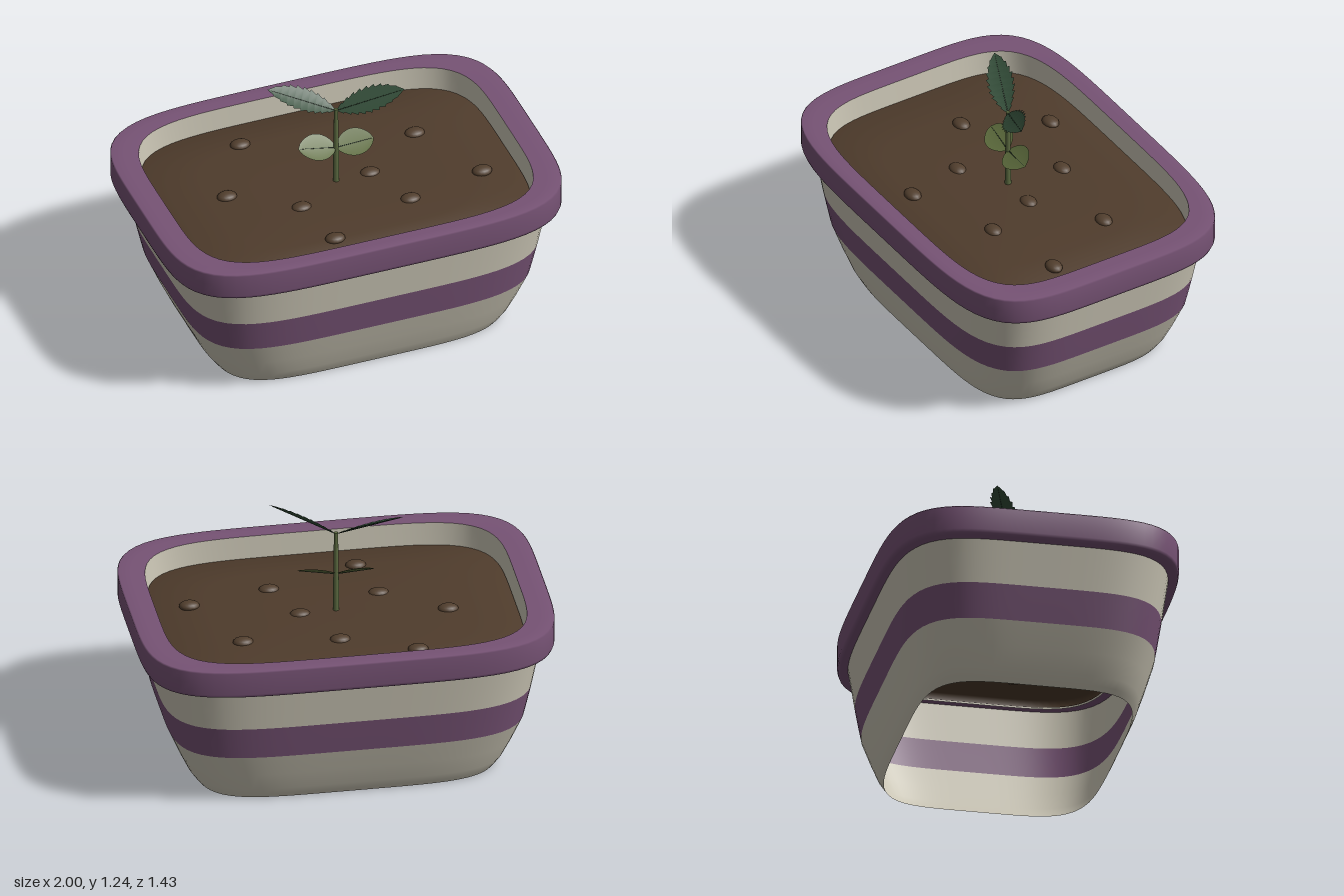
import * as THREE from 'three';

const SEG = 128;
const DEPTH = 0.717; // depth of the planter relative to its width

function material(name, color, double = true) {
  const m = new THREE.MeshStandardMaterial({ color, side: double ? THREE.DoubleSide : THREE.FrontSide });
  m.name = name;
  return m;
}

// Skin a [halfWidth, y] profile around a rounded-rectangle (superellipse) outline
function loft(name, profile, mat) {
  const pos = [], index = [], n = 4.8;
  for (const [r, y] of profile) {
    for (let j = 0; j < SEG; j++) {
      const a = (j / SEG) * Math.PI * 2, c = Math.cos(a), s = Math.sin(a);
      const k = r / Math.pow(Math.abs(c) ** n + Math.abs(s) ** n, 1 / n);
      pos.push(c * k, y, s * k * DEPTH);
    }
  }
  for (let i = 0; i < profile.length - 1; i++) {
    for (let j = 0; j < SEG; j++) {
      const a = i * SEG + j, b = i * SEG + (j + 1) % SEG, c = a + SEG, d = b + SEG;
      index.push(a, c, b, b, c, d);
    }
  }
  return finish(name, pos, index, mat);
}

function finish(name, pos, index, mat) {
  const g = new THREE.BufferGeometry();
  g.setAttribute('position', new THREE.Float32BufferAttribute(pos, 3));
  g.setIndex(index);
  g.computeVertexNormals();
  const mesh = new THREE.Mesh(g, mat);
  mesh.name = name;
  return mesh;
}

// Blade growing along local x, folded along its midrib, with optional saw teeth
function leaf(name, { base, tip, up, half, teeth, power }, mat, veinMat) {
  const from = new THREE.Vector3(...base), dir = new THREE.Vector3(...tip).sub(from);
  const len = dir.length();
  dir.normalize();
  const side = new THREE.Vector3().crossVectors(dir, new THREE.Vector3(...up)).normalize();
  const normal = new THREE.Vector3().crossVectors(side, dir);

  const rows = [], count = teeth || 16;
  for (let i = 0; i <= count; i++) {
    const t = i / count, w = half * Math.pow(Math.max(0, Math.sin(Math.PI * t)), power);
    rows.push([t, w]);
    if (teeth && i > 0 && i < count) rows.push([t + 0.012, w * 0.8]);
  }
  const pos = [], index = [];
  rows.forEach(([t, w], i) => {
    const x = t * len;
    pos.push(x, w * 0.16, -w, x, 0, 0, x, w * 0.16, w);
    if (i === 0) return;
    for (let k = 0; k < 2; k++) {
      const a = (i - 1) * 3 + k, b = a + 1, c = a + 3, d = a + 4;
      index.push(a, b, c, b, d, c);
    }
  });
  const group = new THREE.Group();
  group.name = name;
  group.add(finish(name + 'Blade', pos, index, mat));

  const vein = new THREE.Mesh(new THREE.CylinderGeometry(0.001, 0.0025, len * 0.95, 6), veinMat);
  vein.name = name + 'Midrib';
  vein.rotation.z = -Math.PI / 2;
  vein.position.x = len * 0.475;
  group.add(vein);

  group.quaternion.setFromRotationMatrix(new THREE.Matrix4().makeBasis(dir, normal, side));
  group.position.copy(from);
  return group;
}

export function createModel() {
  const model = new THREE.Group();
  model.name = 'planter';
  const cream = material('cream glaze', 0xcdc8b7);
  const purple = material('purple glaze', 0x775375);
  const soilMat = material('soil', 0x4f3c2c);
  const clumpMat = material('soil clump', 0x523f2e, false);
  const stemMat = material('stem green', 0x5c6b41, false);
  const seedLeafMat = material('seed leaf green', 0x606f3f);
  const leafMat = material('leaf green', 0x35503b);
  const veinMat = material('midrib green', 0x2a3c2c, false);

  // Open-bottomed pot shell with a painted band
  model.add(
    loft('potBase', [[0.727, 0], [0.743, 0.022], [0.768, 0.06], [0.812, 0.155], [0.86, 0.27]], cream),
    loft('potBand', [[0.86, 0.27], [0.879, 0.355], [0.897, 0.44]], purple),
    loft('potUpper', [[0.897, 0.44], [0.917, 0.545], [0.937, 0.65]], cream),
  );

  // Square-topped rim and the inner wall beneath it
  model.add(
    loft('rim', [[0.866, 0.65], [0.937, 0.65], [0.978, 0.65], [0.994, 0.657], [1, 0.672], [1, 0.73],
      [1, 0.785], [0.994, 0.792], [0.935, 0.792], [0.874, 0.79]], purple),
    loft('innerWall', [[0.862, 0.63], [0.868, 0.71], [0.874, 0.79]], cream),
  );

  // Gently mounded soil with a short skirt
  model.add(loft('soil', [[0.855, 0.635], [0.862, 0.675], [0.6, 0.694], [0.3, 0.7], [0, 0.702]], soilMat));

  // Clumps scattered on the soil
  const clumpGeometry = new THREE.SphereGeometry(1, 16, 10);
  const clumps = [[-0.32, -0.44], [0.03, -0.285], [0.49, -0.23], [-0.53, -0.07], [0.175, -0.005],
    [-0.23, 0.14], [0.28, 0.26], [0.68, 0.17], [-0.17, 0.43]];
  for (const [x, z] of clumps) {
    const clump = new THREE.Mesh(clumpGeometry, clumpMat);
    clump.name = 'soilClump';
    clump.scale.set(0.05, 0.024, 0.039);
    clump.position.set(x, 0.695, z);
    model.add(clump);
  }

  // Seedling: stem, two round seed leaves, two toothed leaves
  const seedling = new THREE.Group();
  seedling.name = 'seedling';
  const stem = new THREE.Mesh(new THREE.CylinderGeometry(0.01, 0.016, 0.44, 12), stemMat);
  stem.name = 'stem';
  stem.position.y = 0.9;
  seedling.add(stem);

  for (const s of [1, -1]) {
    seedling.add(leaf(s > 0 ? 'leftSeedLeaf' : 'rightSeedLeaf', {
      base: [0, 0.895, 0], tip: [s * 0.185, 0.917, s * 0.02],
      up: [s > 0 ? -0.15 : 0.05, 0.87, 0.48], half: 0.072, teeth: 0, power: 0.6,
    }, seedLeafMat, veinMat));
    seedling.add(leaf(s > 0 ? 'leftLeaf' : 'rightLeaf', {
      base: [0, 1.112, 0], tip: [s * 0.305, 1.236, s * 0.115],
      up: s > 0 ? [-0.467, 0.8, 0.45] : [0.163, 0.85, 0.45], half: 0.07, teeth: 10, power: 0.75,
    }, leafMat, veinMat));
  }
  model.add(seedling);
  return model;
}
